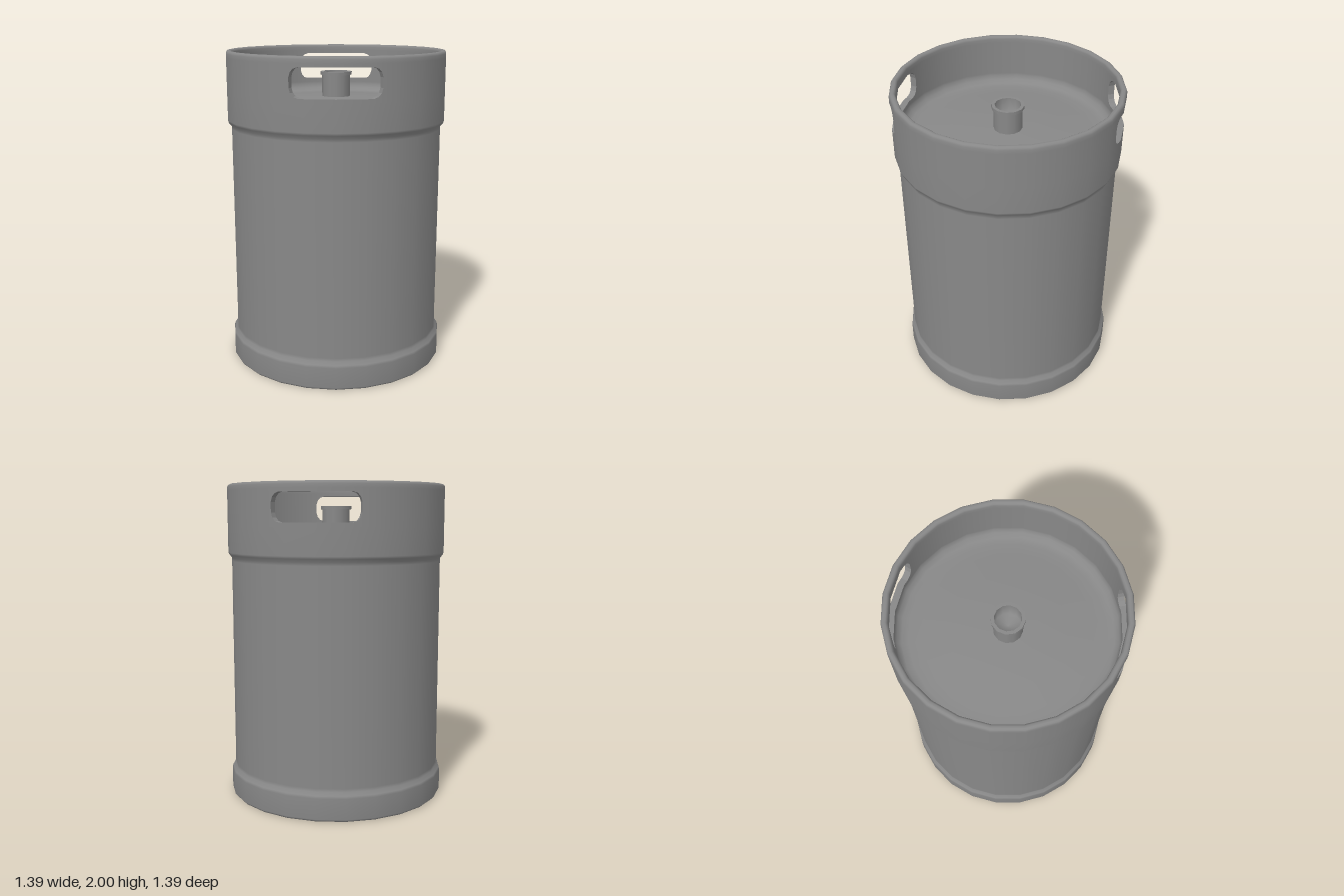
import * as THREE from 'three';

const SIDES = 24;
const OUTER = 0.695, INNER = 0.655;

export function createModel() {
  const keg = new THREE.Group();
  keg.name = 'keg';
  const steel = new THREE.MeshStandardMaterial({ color: 0x888888, side: THREE.DoubleSide });
  steel.name = 'brushed steel';

  const add = (name, geometry) => {
    const mesh = new THREE.Mesh(geometry, steel);
    mesh.name = name;
    keg.add(mesh);
  };
  const lathe = (name, profile, sides = SIDES) =>
    add(name, new THREE.LatheGeometry(profile.map(([r, y]) => new THREE.Vector2(r, y)), sides));

  // Recessed underside and the foot ring around it
  lathe('baseFloor', [[0, 0.12], [0.65, 0.12]]);
  lathe('footInside', [[0.65, 0.12], [0.655, 0.015], [0.668, 0]]);

  // Outer shell: foot ring, barrel, flared collar
  lathe('barrel', [
    [0.668, 0], [0.683, 0], [OUTER, 0.015], [OUTER, 0.145], [0.69, 0.16], [0.673, 0.18],
    [0.672, 0.2], [0.672, 1.52], [0.673, 1.54], [0.69, 1.56], [OUTER, 1.575], [OUTER, 1.74],
  ]);

  // Rolled rim
  lathe('rim', [
    [OUTER, 1.96], [OUTER, 1.983], [0.69, 1.994], [0.682, 2],
    [0.668, 2], [0.659, 1.994], [INNER, 1.983], [INNER, 1.96],
  ]);

  // Domed lid inside the collar
  lathe('lid', [
    [INNER, 1.74], [INNER, 1.725], [0.645, 1.7], [0.62, 1.682], [0.58, 1.676],
    [0.5, 1.68], [0.35, 1.697], [0.18, 1.708], [0, 1.712],
  ]);

  add('collarWithHandles', collarBand(1.74, 1.96, 1.8525));

  // Hollow filling neck with a flange
  lathe('neck', [[0.088, 1.69], [0.088, 1.845]], 12);
  lathe('neckFlange', [[0.088, 1.845], [0.1, 1.845]], 12);
  lathe('neckFlangeEdge', [[0.1, 1.845], [0.1, 1.865]], 12);
  lathe('neckFlangeTop', [[0.1, 1.865], [0.08, 1.865]], 12);
  lathe('neckBore', [[0.08, 1.865], [0.078, 1.76], [0, 1.75]], 12);

  return keg;
}

// Double-walled faceted band with a rounded handle slot at the front and back
function collarBand(y0, y1, slotY) {
  // half slot: position in facets from the slot's middle, half height
  const half = [[0, 0.0875], [1, 0.0875], [1.2, 0.0875], [1.36, 0.078], [1.46, 0.058], [1.51, 0.03], [1.51, 0]];
  const slot = [...half.slice(1).reverse().map(([t, h]) => [-t, h]), ...half];
  const columns = [];
  for (const middle of [0, SIDES / 2]) {
    slot.forEach(([t, h]) => columns.push([middle + t, h]));
    for (let k = 2; k <= SIDES / 2 - 2; k++) columns.push([middle + k, 0]);
  }
  columns.push([SIDES - 1.51, 0]);

  const positions = [], normals = [];
  const corner = (k) => {
    const a = (k * 2 * Math.PI) / SIDES;
    return new THREE.Vector3(Math.sin(a), 0, Math.cos(a));
  };
  // point on the faceted ring
  const point = (t, r, y) => {
    const k = Math.floor(t);
    return corner(k).lerp(corner(k + 1), t - k).multiplyScalar(r).setY(y);
  };
  // two triangles a b c d, either flat or with radial normals
  const quad = (a, b, c, d, radial) => {
    const flat = c.clone().sub(a).cross(d.clone().sub(b)).normalize();
    for (const p of [a, b, c, a, c, d]) {
      const n = radial ? new THREE.Vector3(p.x, 0, p.z).normalize().multiplyScalar(radial) : flat;
      positions.push(p.x, p.y, p.z);
      normals.push(n.x, n.y, n.z);
    }
  };

  for (let i = 0; i < columns.length - 1; i++) {
    const [t, h] = columns[i], [u, g] = columns[i + 1];
    // wall below and above the slot
    for (const [a0, b0, b1, a1] of [
      [y0, y0, slotY - g, slotY - h],
      [slotY + h, slotY + g, y1, y1],
    ]) {
      quad(point(t, OUTER, a0), point(u, OUTER, b0), point(u, OUTER, b1), point(t, OUTER, a1), 1);
      quad(point(u, INNER, b0), point(t, INNER, a0), point(t, INNER, a1), point(u, INNER, b1), -1);
    }
    // cut faces through the wall
    if (h > 0 || g > 0) {
      quad(point(t, OUTER, slotY - h), point(u, OUTER, slotY - g), point(u, INNER, slotY - g), point(t, INNER, slotY - h));
      quad(point(u, OUTER, slotY + g), point(t, OUTER, slotY + h), point(t, INNER, slotY + h), point(u, INNER, slotY + g));
    }
  }

  const geometry = new THREE.BufferGeometry();
  geometry.setAttribute('position', new THREE.Float32BufferAttribute(positions, 3));
  geometry.setAttribute('normal', new THREE.Float32BufferAttribute(normals, 3));
  return geometry;
}
